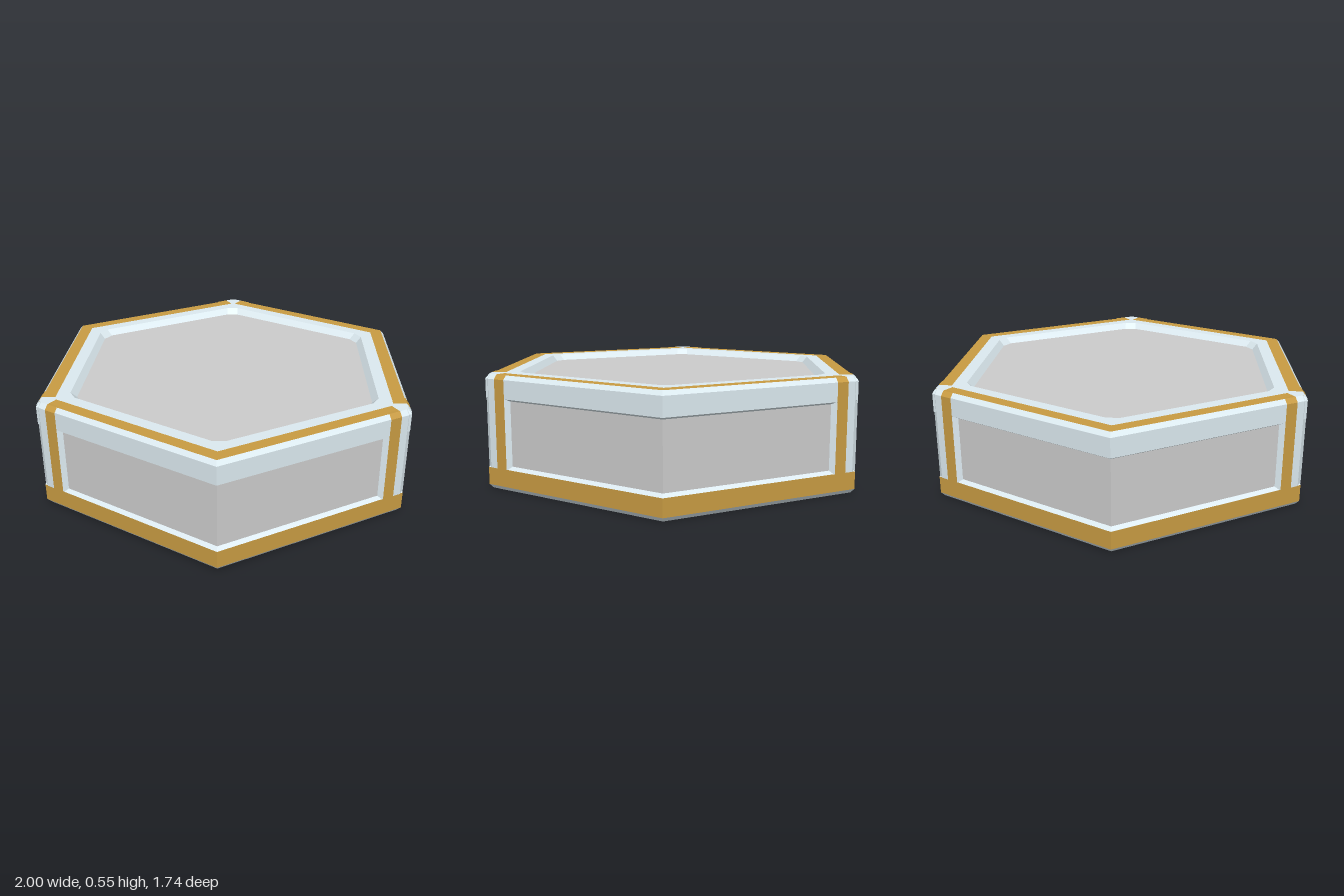
import * as THREE from 'three';

const mat = (color) => new THREE.MeshStandardMaterial({ color, flatShading: true, side: THREE.DoubleSide });
const grey = mat(0xcccccc), steel = mat(0xdceaf0), gold = mat(0xc89b42);

// Skin between rows of points; each row runs around +x to +z, rows run up the outside
function loft(rows, closed) {
  const pos = [];
  const tri = (a, b, c) => {
    const area = b.clone().sub(a).cross(c.clone().sub(a)).length();
    if (area > 1e-9) for (const p of [a, b, c]) pos.push(p.x, p.y, p.z);
  };
  for (let i = 0; i < rows.length - 1; i++) {
    const n = rows[i].length;
    for (let j = 0; j < (closed ? n : n - 1); j++) {
      const k = (j + 1) % n;
      const a = rows[i][j], b = rows[i][k], c = rows[i + 1][k], d = rows[i + 1][j];
      tri(a, d, c);
      tri(a, c, b);
    }
  }
  const geo = new THREE.BufferGeometry();
  geo.setAttribute('position', new THREE.Float32BufferAttribute(pos, 3));
  geo.computeVertexNormals();
  return geo;
}

// Point near hexagon corner: s along the edge on the given side, d inward from that edge
function cornerPoint(angle, side, s, d, y, radius = 1) {
  const along = angle + side * Math.PI * 2 / 3;
  const inward = angle + side * Math.PI * 7 / 6;
  return new THREE.Vector3(
    radius * Math.cos(angle) + s * Math.cos(along) + d * Math.cos(inward), y,
    radius * Math.sin(angle) + s * Math.sin(along) + d * Math.sin(inward));
}

// Hexagonal ring with optionally clipped corners
function hexRow([radius, y, clip = 0]) {
  const row = [];
  for (let i = 0; i < 6; i++) {
    for (const side of [-1, 1]) row.push(cornerPoint(i * Math.PI / 3, side, clip, 0, y, radius));
  }
  return row;
}

export function createModel() {
  const group = new THREE.Group();
  const add = (parent, name, geometry, material) => {
    const mesh = new THREE.Mesh(geometry, material);
    mesh.name = name;
    parent.add(mesh);
  };

  // Hexagonal shell, from the centre underneath to the centre on top
  const clip = 0.035;
  const bands = [
    ['bottomPanel', grey, [[0, 0.03], [0.81, 0.03, clip]]],
    ['bottomFrame', steel, [[0.81, 0.03, clip], [0.84, 0, clip], [0.98, 0], [1, 0.02]]],
    ['baseTrim', gold, [[1, 0.02], [1, 0.105]]],
    ['baseLedge', steel, [[1, 0.105], [0.98, 0.12]]],
    ['sideWalls', grey, [[0.98, 0.12], [0.98, 0.43]]],
    ['topRim', steel, [[0.98, 0.43], [1, 0.44], [1, 0.53], [0.98, 0.55]]],
    ['topTrim', gold, [[0.98, 0.55], [0.91, 0.55]]],
    ['topFrame', steel, [[0.91, 0.55], [0.84, 0.55, clip], [0.81, 0.52, clip]]],
    ['topPanel', grey, [[0.81, 0.52, clip], [0, 0.52]]],
  ];
  for (const [name, material, profile] of bands) {
    add(group, name, loft(profile.map(hexRow), true), material);
  }

  // Three corner posts, each a steel corner between two gold strips
  for (let i = 0; i < 3; i++) {
    const post = new THREE.Group();
    post.name = 'cornerPost' + (i + 1);
    const angle = i * Math.PI * 2 / 3;
    const at = (cols, y, d) => cols.map(([side, s, extra = 0]) => cornerPoint(angle, side, s, d + extra, y));

    const core = [[-1, 0.06], [-1, 0.02], [1, 0.02], [1, 0.06]];
    const tip = core.map(([side]) => cornerPoint(angle, side, 0.06, 0.104, 0.552));
    add(post, 'postCorner', loft([at(core, 0.105, -0.003), at(core, 0.53, -0.003), at(core, 0.552, 0.015), tip]), steel);

    for (const side of [-1, 1]) {
      const order = (cols) => (side < 0 ? cols.reverse() : cols);
      const strip = order([[side, 0.06], [side, 0.12]]);
      const bevel = order([[side, 0.12], [side, 0.14, 0.02]]);
      add(post, 'postTrim', loft([at(strip, 0.105, -0.003), at(strip, 0.53, -0.003), at(strip, 0.552, 0.015), at(strip, 0.551, 0.03)]), gold);
      add(post, 'postBevel', loft([at(bevel, 0.105, -0.003), at(bevel, 0.44, -0.003)]), steel);
    }
    group.add(post);
  }
  return group;
}
